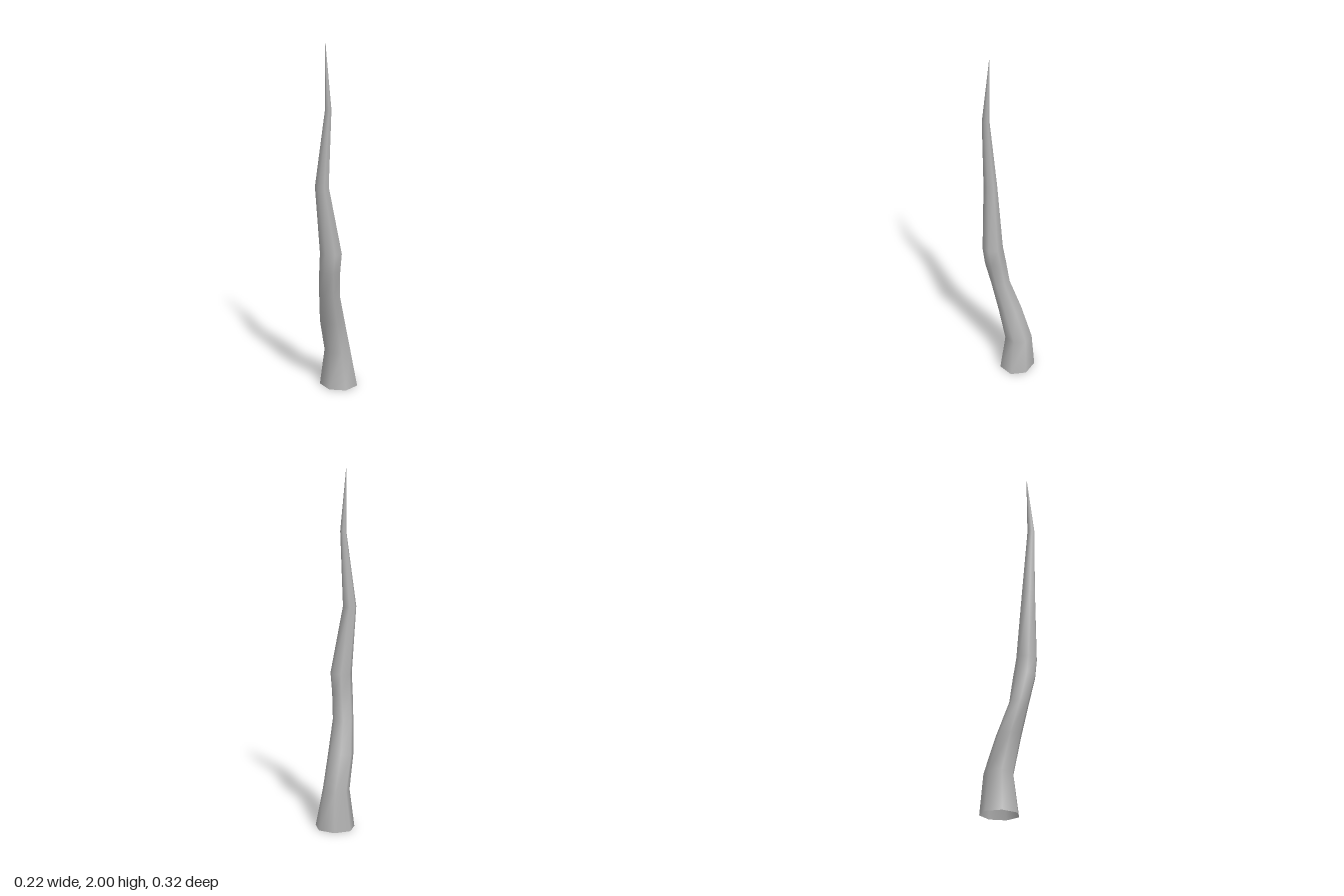
import * as THREE from 'three';

const SIDES = 7;

// Cross-sections from base to tip: [y, xMin, xMax, zMin, zMax]
const RINGS = [
  [0.00, -0.112, 0.110, -0.160, 0.048],
  [0.22, -0.083, 0.066, -0.140, 0.024],
  [0.42, -0.087, 0.057, -0.066, 0.068],
  [0.60, -0.066, 0.052, 0.004, 0.110],
  [0.75, -0.050, 0.066, 0.020, 0.145],
  [0.86, -0.042, 0.080, 0.035, 0.150],
  [1.24, -0.058, 0.017, 0.084, 0.160],
  [1.66, 0.003, 0.036, 0.103, 0.146],
  [2.00, -0.006, -0.003, 0.108, 0.111],
];

// Smooth skin through seven-sided rings, open at the base
function loftGeometry() {
  const positions = [];
  const indices = [];
  RINGS.forEach(([y, x0, x1, z0, z1], i) => {
    for (let j = 0; j < SIDES; j++) {
      const a = THREE.MathUtils.degToRad(200) + (j / SIDES) * Math.PI * 2;
      positions.push(
        (x0 + x1) / 2 + Math.cos(a) * (x1 - x0) * 0.515,
        y,
        (z0 + z1) / 2 + Math.sin(a) * (z1 - z0) * 0.505
      );
      if (i === RINGS.length - 1) continue;
      const p = i * SIDES + j;
      const q = i * SIDES + ((j + 1) % SIDES);
      indices.push(p, p + SIDES, q, q, p + SIDES, q + SIDES);
    }
  });
  const geometry = new THREE.BufferGeometry();
  geometry.setAttribute('position', new THREE.Float32BufferAttribute(positions, 3));
  geometry.setIndex(indices);
  geometry.computeVertexNormals();
  return geometry;
}

export function createModel() {
  const group = new THREE.Group();
  group.name = 'crookedSpike';

  const grey = new THREE.MeshStandardMaterial({ color: 0xb4b4b4, side: THREE.DoubleSide });
  grey.name = 'grey';

  // Bent, tapering spike
  const spike = new THREE.Mesh(loftGeometry(), grey);
  spike.name = 'spike';
  group.add(spike);
  return group;
}
